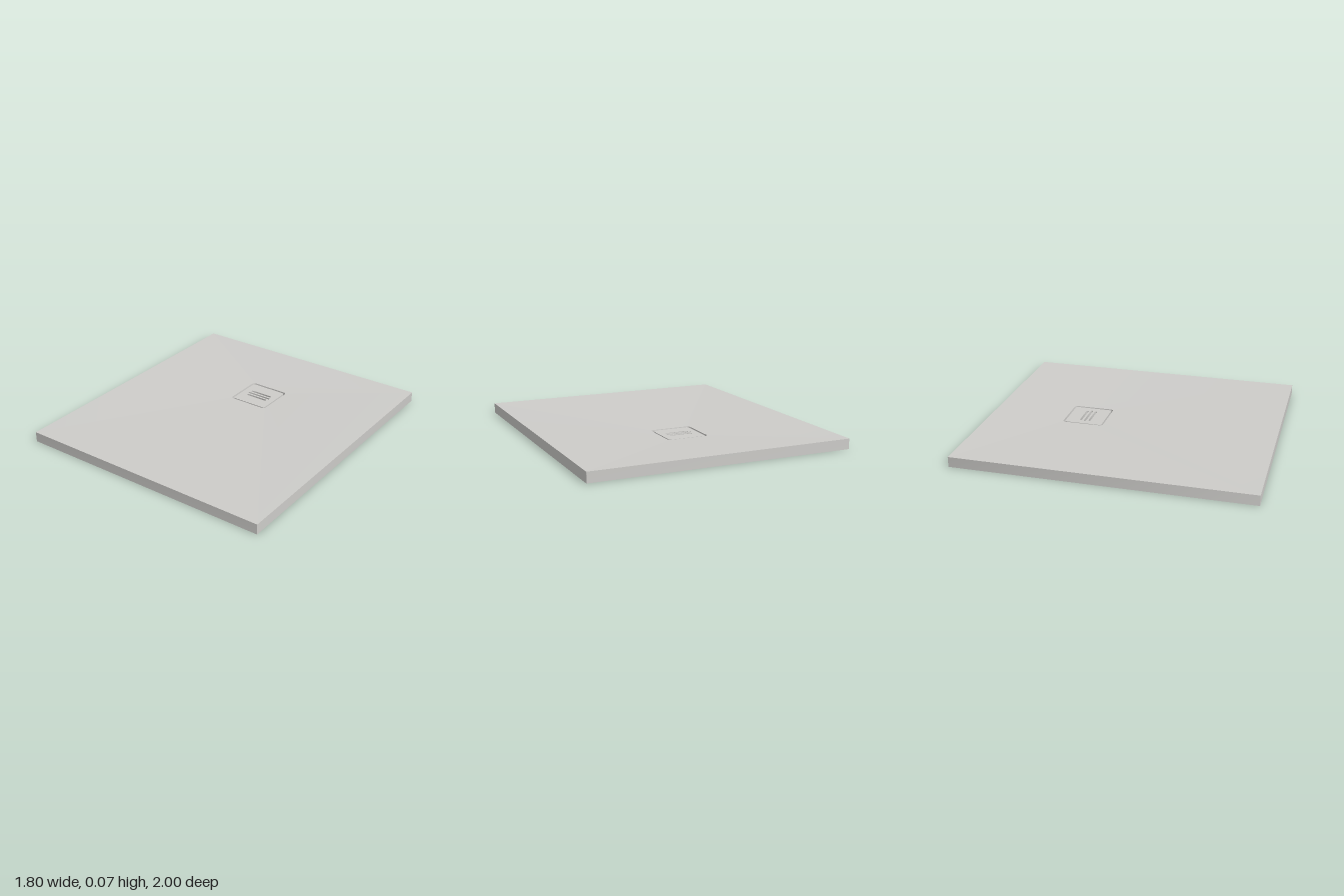
import * as THREE from 'three';
import { toCreasedNormals } from 'three/addons/utils/BufferGeometryUtils.js';

const DRAIN_Z = -0.342;

// Rounded rectangle in the xz plane: width, depth, corner radius, height, centre z
function ring([w, d, r, y, cz = 0]) {
  const points = [], steps = 6;
  for (let c = 0; c < 4; c++) {
    const sx = c === 0 || c === 3 ? 1 : -1, sz = c < 2 ? 1 : -1;
    for (let i = 0; i <= steps; i++) {
      const a = (c + i / steps) * Math.PI / 2;
      points.push([
        sx * (w / 2 - r) + r * Math.cos(a), y,
        cz + sz * (d / 2 - r) + r * Math.sin(a),
      ]);
    }
  }
  return points;
}

// Skin successive rings into one surface
function loft(profile) {
  const rings = profile.map(ring), pos = [];
  for (let i = 0; i < rings.length - 1; i++) {
    const n = rings[i].length;
    for (let j = 0; j < n; j++) {
      const k = (j + 1) % n;
      const a = rings[i][j], b = rings[i][k], c = rings[i + 1][j], d = rings[i + 1][k];
      pos.push(...a, ...c, ...b, ...b, ...c, ...d);
    }
  }
  const g = new THREE.BufferGeometry();
  g.setAttribute('position', new THREE.Float32BufferAttribute(pos, 3));
  return toCreasedNormals(g, 0.5);
}

// Outline with rounded corners or round ends, added to a Shape or Path
function roundedPath(path, w, h, r, cy = 0) {
  const x = w / 2 - r, y = h / 2 - r;
  path.absarc(x, cy + y, r, 0, Math.PI / 2);
  path.absarc(-x, cy + y, r, Math.PI / 2, Math.PI);
  path.absarc(-x, cy - y, r, Math.PI, Math.PI * 1.5);
  path.absarc(x, cy - y, r, Math.PI * 1.5, Math.PI * 2);
  path.closePath();
  return path;
}

export function createModel() {
  const group = new THREE.Group();
  const stone = new THREE.MeshStandardMaterial({ color: 0xcdccc9 });
  stone.name = 'stone grey';

  // Thin shell: drain box, hollow underside, inturned flange, sides, sloping floor, drain well
  const tray = new THREE.Mesh(loft([
    [0.002, 0.002, 0.001, 0.008, DRAIN_Z],
    [0.288, 0.288, 0.022, 0.008, DRAIN_Z],
    [0.288, 0.288, 0.022, 0.045, DRAIN_Z],
    [1.788, 1.988, 0.001, 0.064],
    [1.788, 1.988, 0.001, 0.004],
    [1.61, 1.867, 0.06, 0.004, -0.033],
    [1.61, 1.867, 0.06, 0, -0.033],
    [1.8, 2, 0.001, 0],
    [1.8, 2, 0.001, 0.07],
    [0.288, 0.288, 0.022, 0.051, DRAIN_Z],
    [0.282, 0.282, 0.02, 0.013, DRAIN_Z],
    [0.002, 0.002, 0.001, 0.013, DRAIN_Z],
  ]), stone);
  tray.name = 'tray';
  group.add(tray);

  // Drain cover with three slots
  const plate = roundedPath(new THREE.Shape(), 0.264, 0.264, 0.015);
  for (const [y, w] of [[0.031, 0.165], [0, 0.185], [-0.031, 0.165]]) {
    plate.holes.push(roundedPath(new THREE.Path(), w, 0.016, 0.0079, y));
  }
  const coverGeometry = new THREE.ExtrudeGeometry(plate, {
    depth: 0.035, bevelEnabled: false, curveSegments: 6,
  });
  coverGeometry.rotateX(-Math.PI / 2);
  const cover = new THREE.Mesh(toCreasedNormals(coverGeometry, 0.6), stone);
  cover.name = 'drainCover';
  cover.position.set(0, 0.014, DRAIN_Z);
  group.add(cover);

  return group;
}
